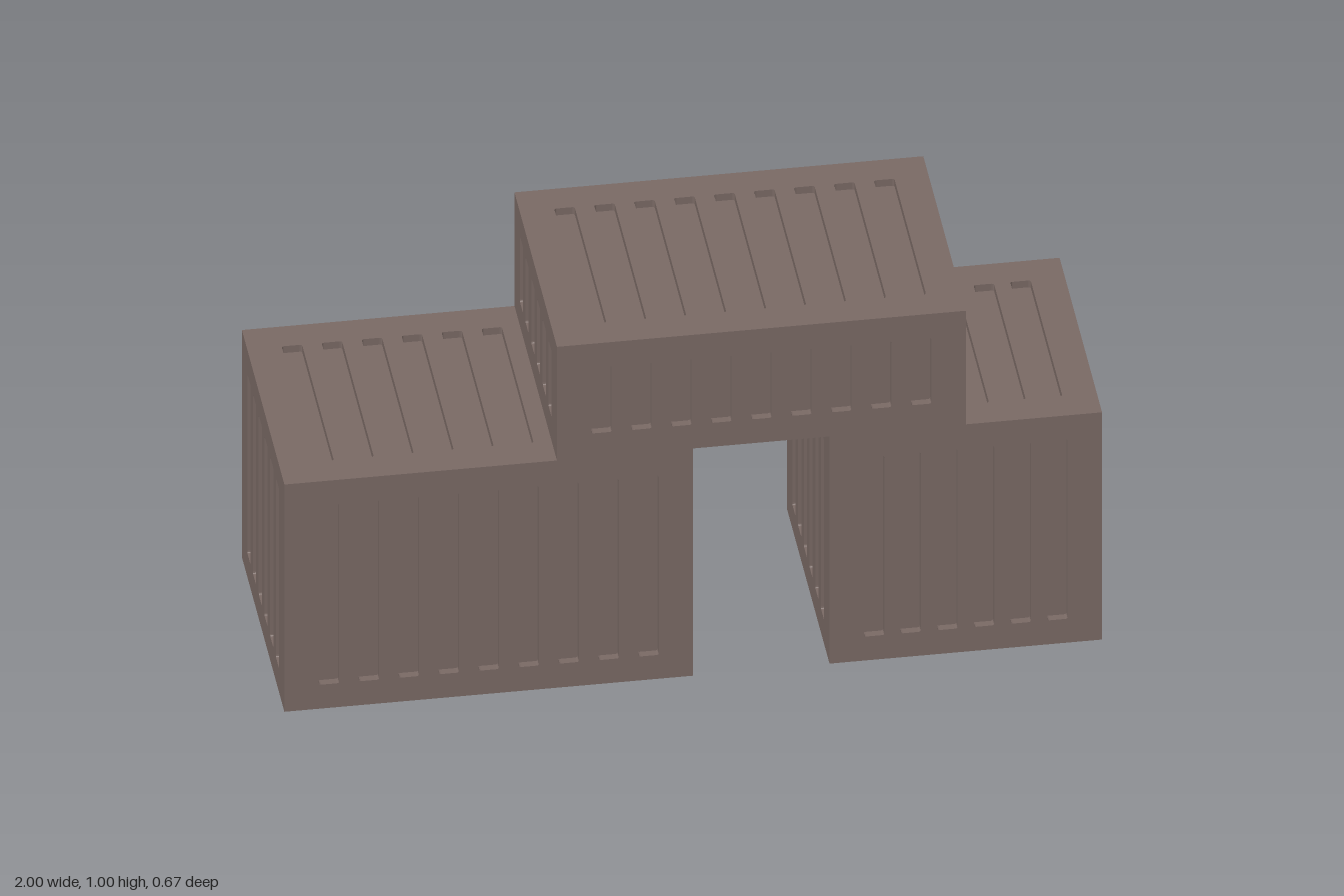
import * as THREE from 'three';
import { mergeGeometries } from 'three/addons/utils/BufferGeometryUtils.js';

const SLOT_W = 0.05, SLOT_DEPTH = 0.02, SIDE_MARGIN = 0.084, CORNER = 0.006;
const THIRD = 1 / 3;

// Closed outline of a narrow slot with slightly rounded corners
function slotPath(x, h) {
  const r = CORNER, a = x - SLOT_W / 2, b = x + SLOT_W / 2, t = h / 2;
  return new THREE.Shape()
    .moveTo(a + r, -t).lineTo(b - r, -t).quadraticCurveTo(b, -t, b, -t + r)
    .lineTo(b, t - r).quadraticCurveTo(b, t, b - r, t)
    .lineTo(a + r, t).quadraticCurveTo(a, t, a, t - r)
    .lineTo(a, -t + r).quadraticCurveTo(a, -t, a + r, -t);
}

// Inward-facing walls of a slot
function slotWalls(shape) {
  const pts = shape.getPoints(3), pos = [], uv = [];
  for (let i = 0; i < pts.length; i++) {
    const p = pts[i], q = pts[(i + 1) % pts.length];
    if (p.distanceTo(q) < 1e-6) continue;
    pos.push(p.x, p.y, 0, q.x, q.y, 0, q.x, q.y, -SLOT_DEPTH);
    pos.push(p.x, p.y, 0, q.x, q.y, -SLOT_DEPTH, p.x, p.y, -SLOT_DEPTH);
    uv.push(0, 0, 1, 0, 1, 1, 0, 0, 1, 1, 0, 1);
  }
  const g = new THREE.BufferGeometry();
  g.setAttribute('position', new THREE.Float32BufferAttribute(pos, 3));
  g.setAttribute('uv', new THREE.Float32BufferAttribute(uv, 2));
  g.computeVertexNormals();
  return g;
}

// One wall facing +z, with a row of recessed slots
function slottedFace(w, h, endMargin) {
  const count = w > 0.9 ? 9 : 6;
  const span = w - 2 * SIDE_MARGIN - SLOT_W;
  const face = new THREE.Shape()
    .moveTo(-w / 2, -h / 2).lineTo(w / 2, -h / 2).lineTo(w / 2, h / 2).lineTo(-w / 2, h / 2).closePath();
  const parts = [];
  for (let i = 0; i < count; i++) {
    const slot = slotPath(-span / 2 + span * i / (count - 1), h - 2 * endMargin);
    face.holes.push(slot);
    parts.push(slotWalls(slot));
    parts.push(new THREE.ShapeGeometry(slot, 3).translate(0, 0, -SLOT_DEPTH).toNonIndexed());
  }
  parts.push(new THREE.ShapeGeometry(face, 3).toNonIndexed());
  return mergeGeometries(parts);
}

// Container with slots on all six sides
function container(name, material, x0, x1, y0, y1) {
  const sx = x1 - x0, sy = y1 - y0, sz = 2 * THIRD;
  const parts = [];
  for (const turn of [0, Math.PI]) {
    parts.push(slottedFace(sx, sy, 0.07).translate(0, 0, sz / 2).rotateY(turn));
    parts.push(slottedFace(sz, sy, 0.07).translate(0, 0, sx / 2).rotateY(Math.PI / 2 + turn));
    parts.push(slottedFace(sx, sz, SIDE_MARGIN).translate(0, 0, sy / 2).rotateX(Math.PI / 2 + turn));
  }
  const mesh = new THREE.Mesh(mergeGeometries(parts), material);
  mesh.name = name;
  mesh.position.set((x0 + x1) / 2, (y0 + y1) / 2, 0);
  return mesh;
}

export function createModel() {
  const model = new THREE.Group();
  model.name = 'stackedContainers';
  const material = new THREE.MeshStandardMaterial({ color: 0x7a6a65 });
  model.add(
    container('longContainer', material, -1, 0, 0, 2 * THIRD),
    container('shortContainer', material, THIRD, 1, 0, 2 * THIRD),
    container('topContainer', material, -THIRD, 2 * THIRD, 2 * THIRD, 1),
  );
  return model;
}
